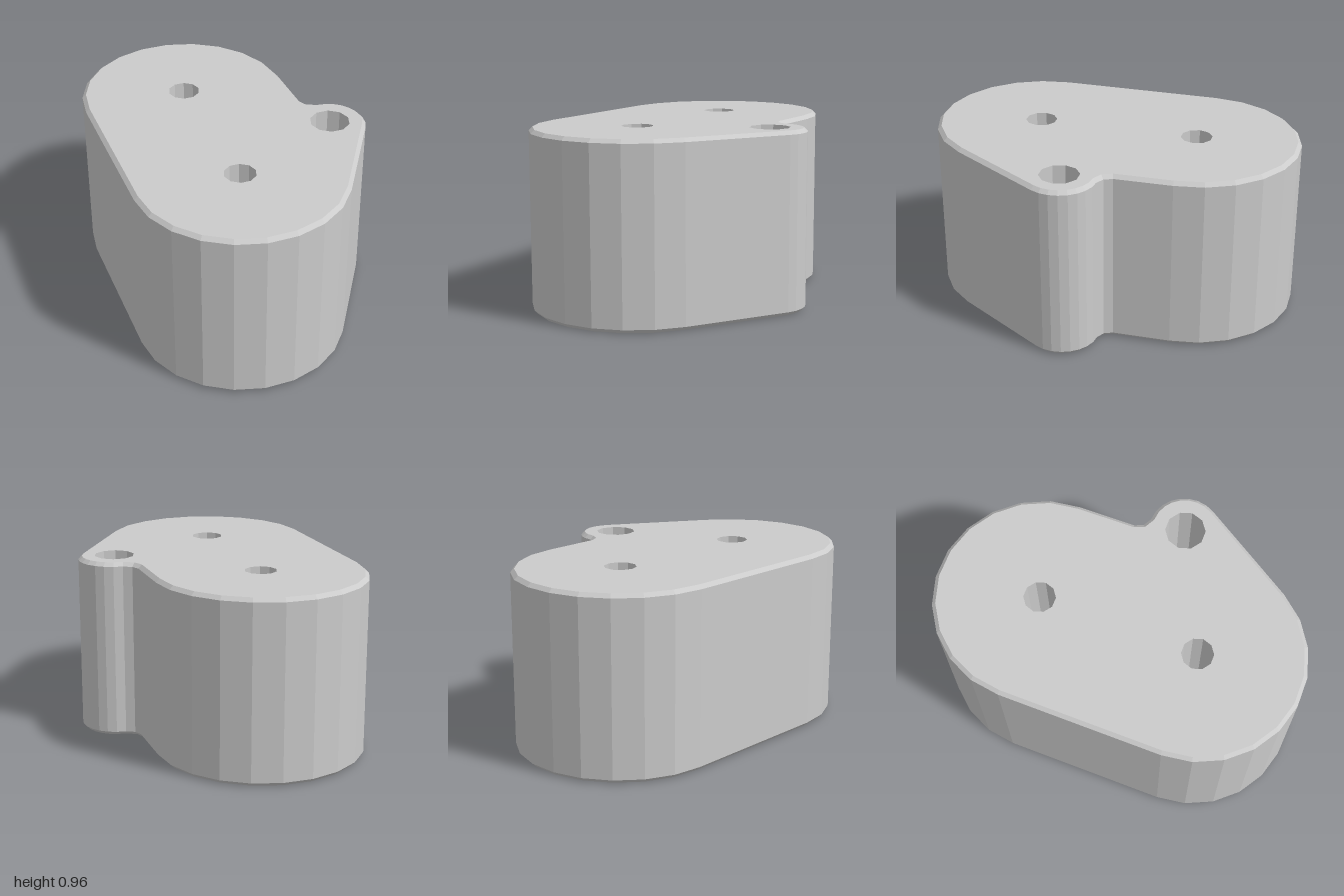
import * as THREE from 'three';

const BEVEL = 0.02, HEIGHT = 0.965;

// Points along an arc, angles in degrees
function arc(cx, cy, r, from, to, n) {
  return Array.from({ length: n + 1 }, (_, i) => {
    const a = THREE.MathUtils.degToRad(from + (to - from) * i / n);
    return new THREE.Vector2(cx + r * Math.cos(a), cy + r * Math.sin(a));
  });
}

export function createModel() {
  const group = new THREE.Group();
  group.name = 'mountingBlock';

  // Plan outline: two round ends, a side lug and a small fillet (shape y = -z)
  const outline = new THREE.Shape([
    ...arc(-0.13, -0.44, 0.56, 180, 328, 9),
    ...arc(0.5, -0.13, 0.19, -32, 90, 8),
    new THREE.Vector2(0.455, 0.085),
    new THREE.Vector2(0.435, 0.13),
    ...arc(-0.13, 0.44, 0.56, 0, 180, 11),
  ]);

  // Two bolt holes and the larger lug hole: x, y, radius
  const holes = [[-0.13, 0.44, 0.085], [-0.13, -0.43, 0.085], [0.495, -0.135, 0.107]];
  for (const [x, y, r] of holes) {
    outline.holes.push(new THREE.Path(arc(x, y, r, 360, 36, 9)));
  }

  const geometry = new THREE.ExtrudeGeometry(outline, {
    depth: HEIGHT - 2 * BEVEL, steps: 1,
    bevelEnabled: true, bevelThickness: BEVEL, bevelSize: BEVEL,
    bevelOffset: -BEVEL, bevelSegments: 1,
  });

  // Keep the hole walls straight, so only the outer rim is chamfered
  const pos = geometry.attributes.position;
  for (let i = 0; i < pos.count; i++) {
    for (const [x, y, r] of holes) {
      const dx = pos.getX(i) - x, dy = pos.getY(i) - y, d = Math.hypot(dx, dy);
      if (d < r + 0.04) pos.setXY(i, x + dx * r / d, y + dy * r / d);
    }
  }
  geometry.rotateX(-Math.PI / 2);
  geometry.translate(0, BEVEL, 0);
  geometry.computeVertexNormals();

  const body = new THREE.Mesh(geometry,
    new THREE.MeshStandardMaterial({ color: 0xcccccc, flatShading: true }));
  body.name = 'blockBody';
  group.add(body);
  return group;
}
